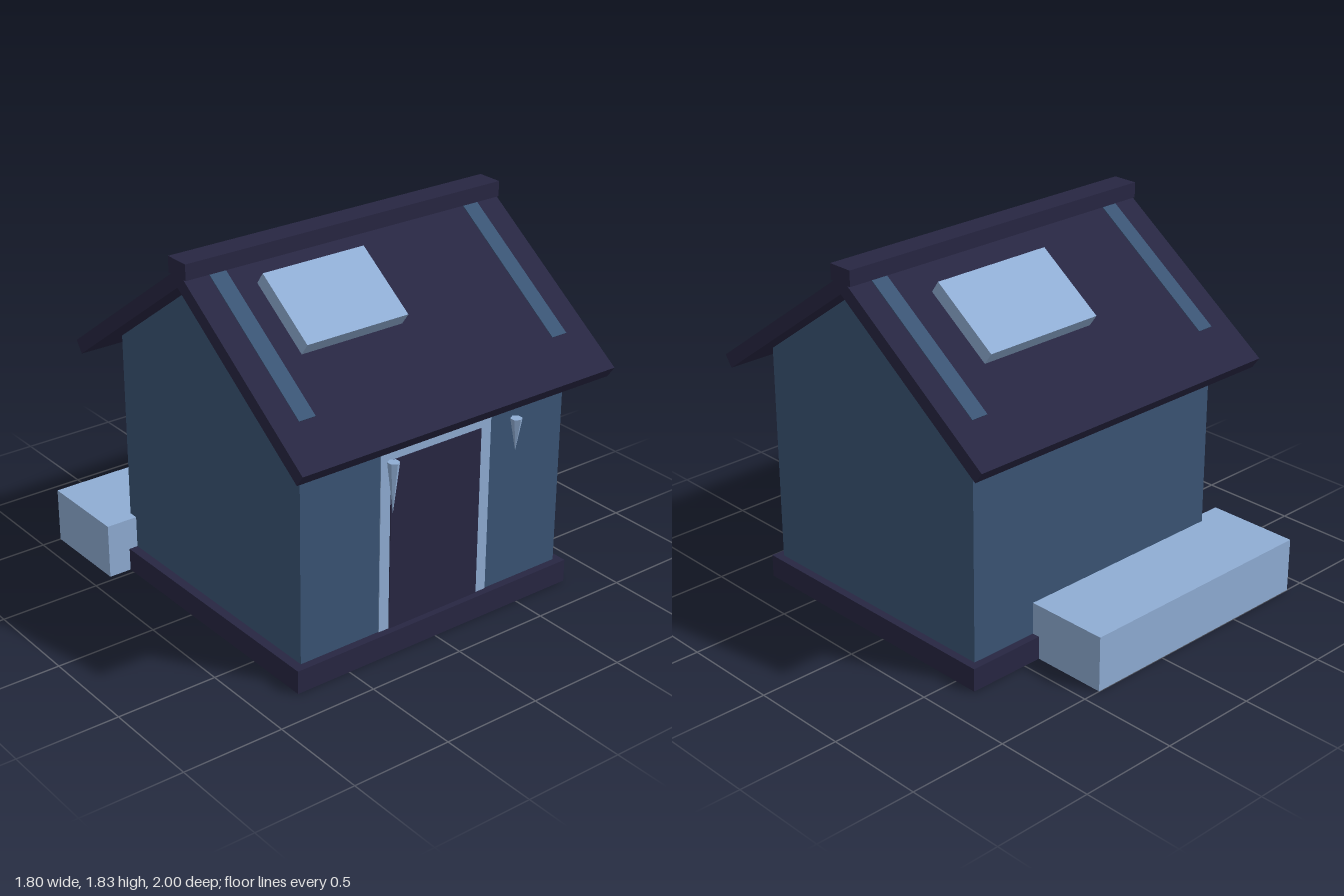
import * as THREE from 'three';

const mat = (name, color) => Object.assign(new THREE.MeshStandardMaterial({ color }), { name });

export function createModel() {
  const dark = mat('dark timber', 0x272642);
  const blue = mat('blue wall', 0x3a5474);
  const snow = mat('snow', 0x8fadd4);
  const model = new THREE.Group();
  model.name = 'snowyHut';

  const cx = 0.015, cz = 0.105;      // centre of the hut
  const slope = Math.atan2(0.6, 0.84);
  const ridgeY = 1.783;              // outer peak of the roof slabs

  const add = (name, geometry, material, parent = model) => {
    const mesh = new THREE.Mesh(geometry, material);
    mesh.name = name;
    parent.add(mesh);
    return mesh;
  };
  // Box given by its two opposite corners
  const box = (name, material, [x0, y0, z0], [x1, y1, z1], parent) =>
    add(name, new THREE.BoxGeometry(x1 - x0, y1 - y0, z1 - z0), material, parent)
      .position.set((x0 + x1) / 2, (y0 + y1) / 2, (z0 + z1) / 2);
  // Gable profile (depth, height) extruded along x
  const gable = (name, material, points, x0, x1) => {
    const shape = new THREE.Shape(points.map(([d, y]) => new THREE.Vector2(d, y)));
    const geometry = new THREE.ExtrudeGeometry(shape, { depth: x1 - x0, bevelEnabled: false });
    geometry.rotateY(Math.PI / 2).translate(x0, 0, cz);
    add(name, geometry, material);
  };

  // Base and walls
  box('base', dark, [-0.785, 0, -0.62], [0.81, 0.115, 0.83]);
  gable('walls', blue,
    [[-0.685, 0.1], [0.685, 0.1], [0.685, 1.212], [0, 1.702], [-0.685, 1.212]], -0.74, 0.77);

  // Roof and ridge beam
  gable('roof', dark,
    [[-0.84, 1.1], [0, 1.7], [0.84, 1.1], [0.88, 1.156], [0, ridgeY], [-0.88, 1.156]], -0.87, 0.9);
  box('ridgeBeam', dark, [-0.87, 1.75, cz - 0.065], [0.9, 1.825, cz + 0.065]);

  // Snow slabs and flat strips lying on each slope (s = 1 front, -1 back)
  const slabs = { '1': [-0.55, 0, 0.166, 0.553], '-1': [-0.115, 0.53, 0.209, 0.62] };
  for (const s of [1, -1]) {
    const side = new THREE.Group();
    side.name = s > 0 ? 'frontSlope' : 'backSlope';
    side.position.set(0, ridgeY, cz);
    side.rotation.x = s * slope;
    model.add(side);
    const onSlope = (name, material, x0, x1, d0, d1, h) =>
      box(name, material, [x0, 0, Math.min(s * d0, s * d1)], [x1, h, Math.max(s * d0, s * d1)], side);
    onSlope('roofSnow', snow, ...slabs[s], 0.07);
    for (const x of [-0.7, 0.73]) onSlope('roofStrip', blue, x - 0.043, x + 0.043, 0.06, 0.843, 0.004);
  }

  // Door and its frame
  box('doorFrame', snow, [-0.305, 0.115, 0.785], [0.33, 1.02, 0.794]);
  box('door', dark, [-0.25, 0.115, 0.789], [0.27, 0.965, 0.798]);

  // Icicles below the front eave
  for (const [x, length] of [[-0.383, 0.245], [0.315, 0.16]]) {
    const cone = new THREE.ConeGeometry(0.028, length, 6).toNonIndexed();
    cone.computeVertexNormals();
    cone.rotateX(Math.PI);
    add('icicle', cone, snow).position.set(x, 1.07 - length / 2, 0.972);
  }

  // Snow drift behind the hut
  box('snowDrift', snow, [-0.9, 0, -1], [0.41, 0.275, -0.53]);
  return model;
}
